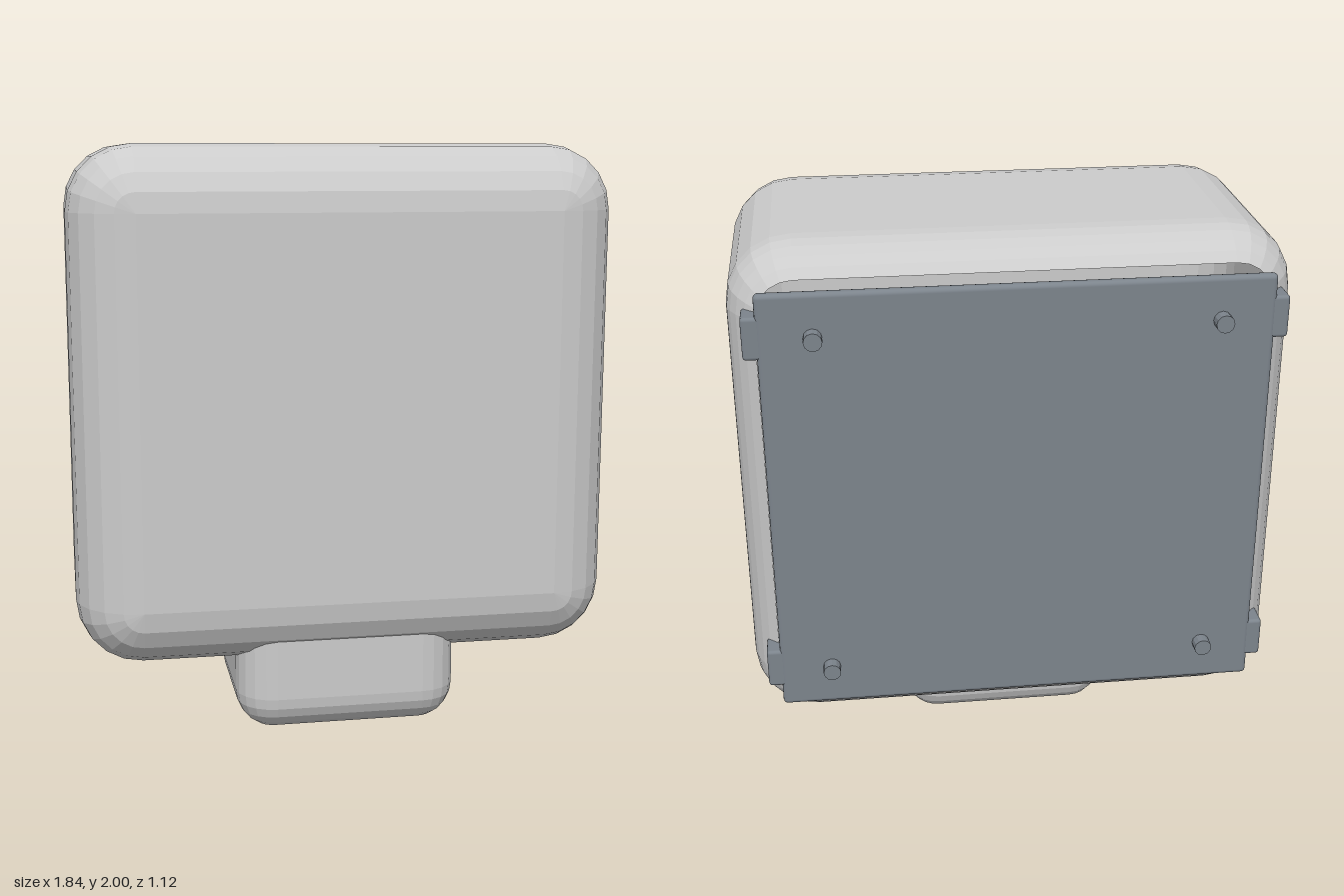
import * as THREE from 'three';
import { RoundedBoxGeometry } from 'three/addons/geometries/RoundedBoxGeometry.js';

const SEG = 5;
const grey = new THREE.MeshStandardMaterial({ color: 0xcccccc, flatShading: true, side: THREE.DoubleSide });
const slate = new THREE.MeshStandardMaterial({ color: 0x7c848c });

// Rounded rectangle loop, counter-clockwise, with fixed corner centres
function loop(hw, hh, r, inset, w) {
  const pts = [];
  const corners = [[1, 1], [-1, 1], [-1, -1], [1, -1]];
  corners.forEach(([sx, sy], q) => {
    for (let i = 0; i <= SEG; i++) {
      const a = (q + i / SEG) * Math.PI / 2;
      pts.push([sx * (hw - r) + (r - inset) * Math.cos(a), sy * (hh - r) + (r - inset) * Math.sin(a), w]);
    }
  });
  return pts;
}

// Shell lofted through [w, inset] sections, optionally capped at its last section
function shell(hw, hh, r, sections, cap) {
  const rings = sections.map(([w, inset]) => loop(hw, hh, r, inset, w));
  const pos = [];
  const n = rings[0].length;
  for (let k = 0; k < rings.length - 1; k++) {
    for (let j = 0; j < n; j++) {
      const a = rings[k][j], b = rings[k][(j + 1) % n];
      const c = rings[k + 1][(j + 1) % n], d = rings[k + 1][j];
      pos.push(...a, ...b, ...c, ...a, ...c, ...d);
    }
  }
  if (cap) {
    const end = rings[rings.length - 1];
    for (let j = 1; j < n - 1; j++) pos.push(...end[0], ...end[j], ...end[j + 1]);
  }
  const g = new THREE.BufferGeometry();
  g.setAttribute('position', new THREE.Float32BufferAttribute(pos, 3));
  g.computeVertexNormals();
  return g;
}

// Quarter-round sections from angle a0 to a1 about the centre w0
function round(w0, r, a0, a1) {
  return Array.from({ length: SEG + 1 }, (_, i) => {
    const a = a0 + (a1 - a0) * i / SEG;
    return [w0 + r * Math.sin(a), r * (1 - Math.cos(a))];
  });
}

export function createModel() {
  const model = new THREE.Group();
  const add = (name, geometry, material, x, y, z) => {
    const mesh = new THREE.Mesh(geometry, material);
    mesh.name = name;
    mesh.position.set(x, y, z);
    model.add(mesh);
    return mesh;
  };

  // Hollow housing, open at the back behind the panel
  const r = 0.22;
  const housing = [...round(-0.28, r, -0.96, 0), ...round(0.34, r, 0, Math.PI / 2)];
  add('housing', shell(0.922, 0.873, r, housing, true), grey, 0, 1.127, 0);

  // Hollow neck, open at the bottom, running up into the housing
  const nr = 0.13;
  const neck = [...round(nr, nr, -1.4, 0), [0.36, 0]];
  add('neck', shell(0.383, 0.328, nr, neck, false), grey, 0, 0, 0.182).rotation.x = -Math.PI / 2;

  // Back panel
  add('backPanel', new RoundedBoxGeometry(1.65, 1.51, 0.038, 2, 0.016), slate, 0, 1.127, -0.499);

  // Side clips and pins at the four panel corners
  const clip = new RoundedBoxGeometry(0.08, 0.142, 0.1, 2, 0.012);
  const pin = new THREE.CylinderGeometry(0.03, 0.03, 0.06, 12).rotateX(Math.PI / 2);
  const pinMaterial = slate.clone();
  pinMaterial.flatShading = true;
  for (const sx of [-1, 1]) {
    for (const y of [0.52, 1.737]) {
      add('clip', clip, slate, sx * 0.83, y, -0.465);
      add('pin', pin, pinMaterial, sx * 0.65, y, -0.53);
    }
  }
  return model;
}
